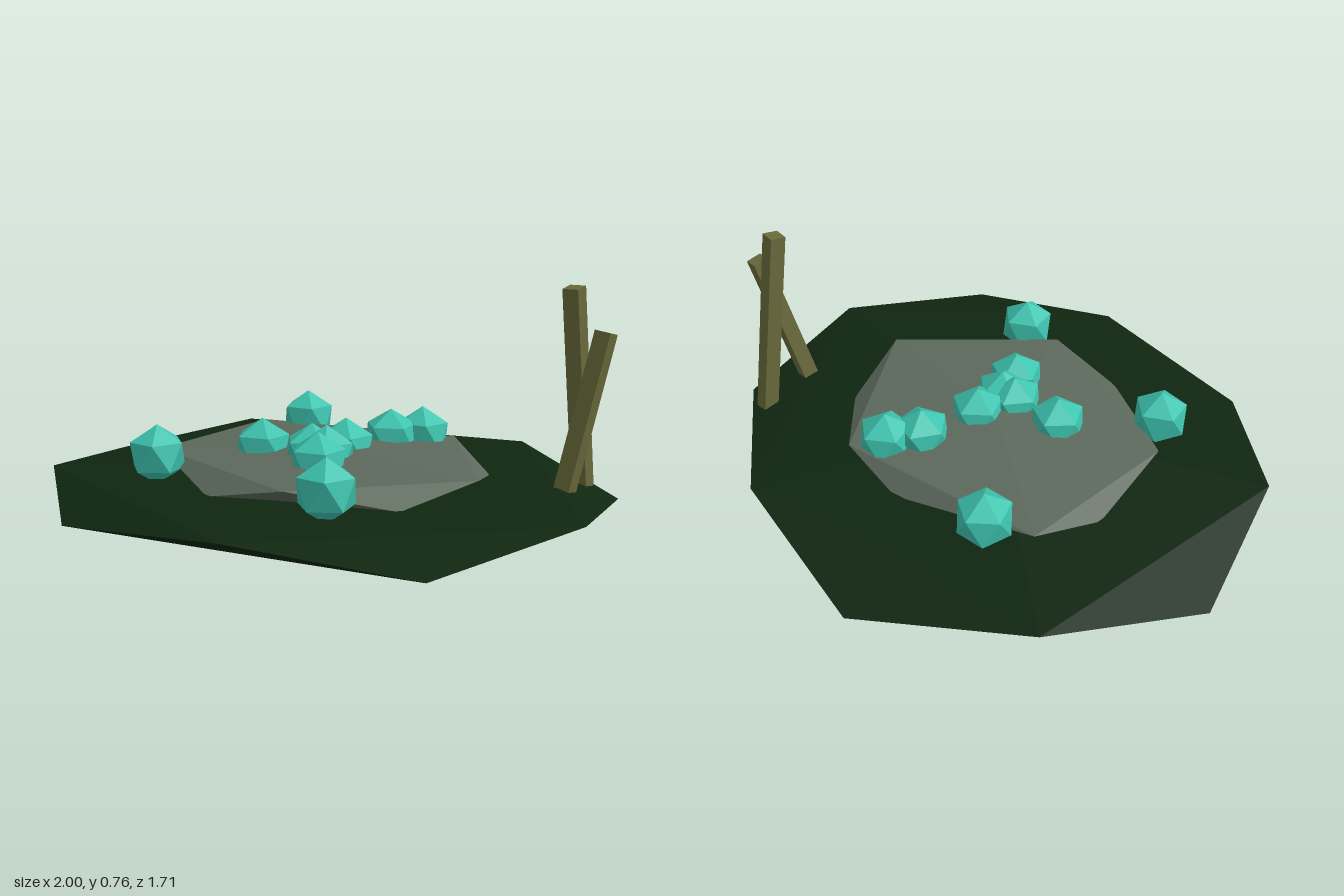
import * as THREE from 'three';

const flat = (name, color) => {
  const m = new THREE.MeshStandardMaterial({ color, flatShading: true });
  m.name = name;
  return m;
};

// Twenty-sided lump: top point, two staggered rings of [x, z] points, bottom point
function lump(top, upper, upperY, lower, lowerY, bottom) {
  const u = upper.map(([x, z]) => [x, upperY, z]);
  const l = lower.map(([x, z]) => [x, lowerY, z]);
  const corners = [];
  for (let i = 0; i < u.length; i++) {
    const j = (i + 1) % u.length;
    corners.push(top, u[j], u[i], u[i], u[j], l[i], l[i], u[j], l[j], bottom, l[i], l[j]);
  }
  const g = new THREE.BufferGeometry();
  g.setAttribute('position', new THREE.Float32BufferAttribute(corners.flat(), 3));
  g.computeVertexNormals();
  return g;
}

export function createModel() {
  const model = new THREE.Group();
  const grass = flat('dark grass', 0x0f2610);
  const stone = flat('grey stone', 0x5c695c);
  const crystal = flat('teal crystal', 0x3dc4af);
  const wood = flat('olive wood', 0x696a3c);

  const add = (name, geometry, material) => {
    const mesh = new THREE.Mesh(geometry, material);
    mesh.name = name;
    model.add(mesh);
    return mesh;
  };

  // Flattened ground mound
  add('ground', lump(
    [0.02, 0.15, 0],
    [[1, 0.03], [0.29, 0.81], [-0.78, 0.54], [-0.78, -0.48], [0.31, -0.82]], 0.112,
    [[0.81, 0.57], [-0.35, 0.85], [-1, 0.02], [-0.31, -0.86], [0.85, -0.51]], 0.05,
    [0.04, 0, 0]), grass);

  // Flat rock sunk into the ground
  add('rock', lump(
    [0.02, 0.214, 0],
    [[0.62, 0], [0.23, 0.48], [-0.47, 0.32], [-0.51, -0.27], [0.22, -0.48]], 0.18,
    [[0.51, 0.27], [-0.06, 0.51], [-0.55, -0.02], [-0.03, -0.47], [0.49, -0.28]], 0.12,
    [0.02, 0.1, 0]), stone);

  // Crystals: icosahedra standing on a point, three on the ground and seven in the rock
  const gem = new THREE.IcosahedronGeometry(0.102, 0);
  gem.rotateZ(Math.atan(2 / (1 + Math.sqrt(5))));
  gem.rotateY(-Math.PI / 2);
  [
    [-0.36, -0.35, 0.2], [-0.355, 0.44, 0], [0.365, 0.44, 0],
    [-0.155, 0.14, 0.3], [0.155, -0.37, 0.1], [0.095, -0.26, 0.5], [0.065, -0.04, 0.2],
    [0.03, 0.1, 0.4], [0.085, 0.09, 0], [0.13, 0.19, 0.3],
  ].forEach(([x, z, yaw], i) => {
    const mesh = add(`crystal${i + 1}`, gem, crystal);
    mesh.position.set(x, 0.198, z);
    mesh.rotation.y = yaw;
  });

  // Two leaning posts, each a square bar from foot to tip
  const post = (name, foot, tip) => {
    const a = new THREE.Vector3(...foot), b = new THREE.Vector3(...tip);
    const dir = b.clone().sub(a);
    const mesh = add(name, new THREE.BoxGeometry(0.056, dir.length(), 0.056), wood);
    mesh.position.copy(a).add(b).multiplyScalar(0.5);
    mesh.quaternion.setFromUnitVectors(new THREE.Vector3(0, 1, 0), dir.normalize());
  };
  post('tallPost', [0.71, 0.065, -0.527], [0.71, 0.755, -0.408]);
  post('shortPost', [0.745, 0.085, -0.32], [0.817, 0.615, -0.432]);

  return model;
}
